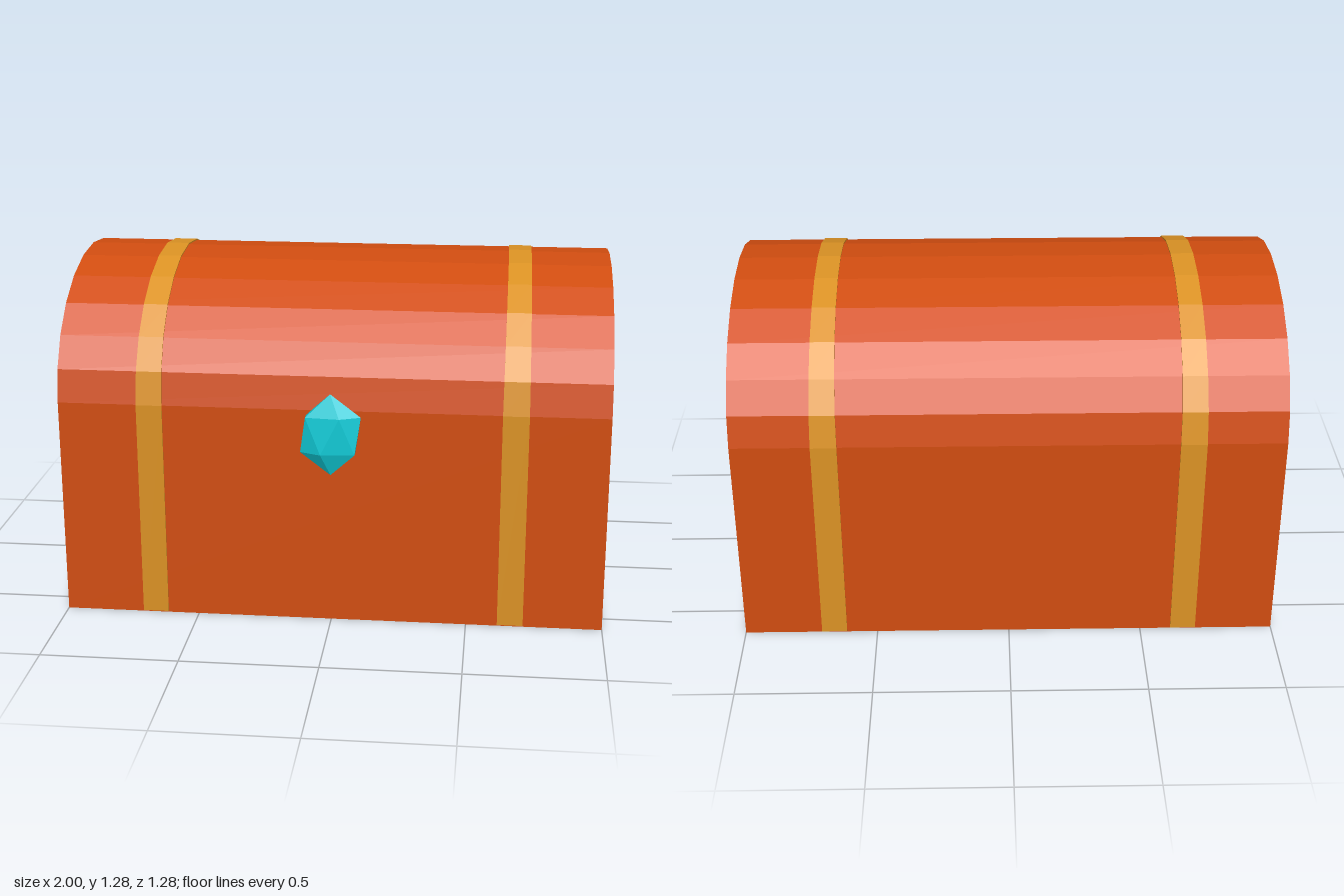
import * as THREE from 'three';
import { ConvexGeometry } from 'three/addons/geometries/ConvexGeometry.js';

const HALF_DEPTH = 0.617, WALL = 0.815, RISE = 0.465, CENTRE_Z = -0.02;

// Points up one wall, over the vaulted lid and down the other, pushed out by offset
function archPoints(offset, base) {
  const points = [new THREE.Vector2(HALF_DEPTH + offset, base)];
  for (let i = 0; i <= 12; i++) {
    const a = (i / 12) * Math.PI;
    points.push(new THREE.Vector2(
      Math.cos(a) * (HALF_DEPTH + offset),
      WALL + Math.sin(a) * (RISE + offset)));
  }
  points.push(new THREE.Vector2(-HALF_DEPTH - offset, base));
  return points;
}

// Extrude a side profile along x, centred on x = 0
function extrudeAlongX(points, width) {
  const geometry = new THREE.ExtrudeGeometry(new THREE.Shape(points), { depth: width, bevelEnabled: false });
  geometry.rotateY(-Math.PI / 2);
  geometry.translate(width / 2, 0, CENTRE_Z);
  return geometry;
}

function flatMaterial(name, color) {
  const material = new THREE.MeshStandardMaterial({ color, flatShading: true });
  material.name = name;
  return material;
}

export function createModel() {
  const wood = flatMaterial('orange wood', 0xd14d10);
  const gold = flatMaterial('gold', 0xdb9224);
  const turquoise = flatMaterial('turquoise', 0x10ccd8);
  const chest = new THREE.Group();
  chest.name = 'chest';

  function add(name, geometry, material) {
    const mesh = new THREE.Mesh(geometry, material);
    mesh.name = name;
    chest.add(mesh);
    return mesh;
  }

  // Solid body with vaulted lid
  add('body', extrudeAlongX(archPoints(0, 0), 2), wood);

  // Thin straps, narrowing slightly towards the top
  const strapOutline = [...archPoints(0.005, 0.005), ...archPoints(-0.003, 0.005).reverse()];
  const strap = extrudeAlongX(strapOutline, 0.095);
  const position = strap.attributes.position;
  for (let i = 0; i < position.count; i++) {
    const t = Math.max(0, (position.getY(i) - WALL) / RISE);
    position.setX(i, position.getX(i) * (1 - 0.1 * t));
  }
  strap.computeVertexNormals();
  for (const side of [1, -1]) {
    add(side > 0 ? 'leftStrap' : 'rightStrap', strap, gold).position.x = side * 0.663;
  }

  // Flattened icosahedral gem used as the lock, with its poles upright
  const gemPoints = [new THREE.Vector3(0, 1, 0), new THREE.Vector3(0, -1, 0)];
  const ringY = 1 / Math.sqrt(5), ringRadius = 2 / Math.sqrt(5);
  for (let i = 0; i < 5; i++) {
    const a = (i / 5) * Math.PI * 2;
    const x = Math.cos(a) * ringRadius, z = Math.sin(a) * ringRadius;
    gemPoints.push(new THREE.Vector3(x, ringY, z), new THREE.Vector3(-x, -ringY, -z));
  }
  const gem = new ConvexGeometry(gemPoints);
  gem.scale(0.123, 0.153, 0.037);
  add('gemLock', gem, turquoise).position.set(0, 0.728, 0.611);

  return chest;
}
